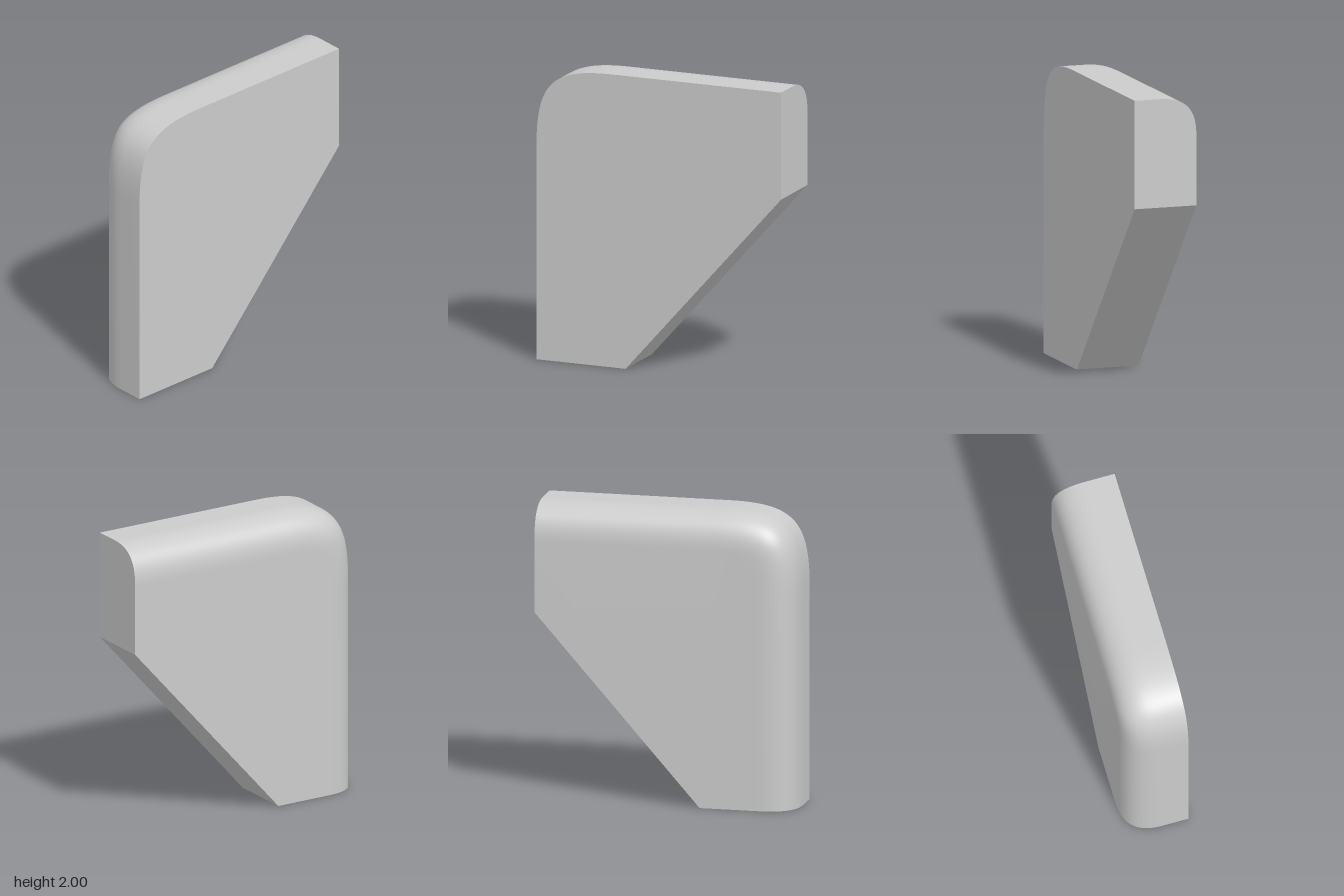
import * as THREE from 'three';
import { toCreasedNormals } from 'three/addons/utils/BufferGeometryUtils.js';

const W = 0.885, H = 2, D = 0.217;   // half width, height, half depth
const CORNER = 0.55, FILLET = 0.25;  // reach of the outline corner and of the back fillet

// Soft corner curve running from (0, size) to (size, 0), measured from the sharp corner.
function softCorner(size, pull, steps) {
  const v = (x, y) => new THREE.Vector2(x * size, y * size);
  return new THREE.CubicBezierCurve(v(0, 1), v(0, 1 - pull), v(1 - pull, 0), v(1, 0)).getPoints(steps);
}

// Rounded rim: up the left side, round the corner, along the top; each point with its inward normal.
function makeRim() {
  const pts = softCorner(CORNER, 0.8, 40).map(p => new THREE.Vector2(-W + p.x, H - p.y));
  const rim = pts.map((p, i) => {
    const t = pts[Math.min(i + 1, pts.length - 1)].clone().sub(pts[Math.max(i - 1, 0)]).normalize();
    if (i === 0) t.set(0, 1);
    if (i === pts.length - 1) t.set(1, 0);
    return { p, n: new THREE.Vector2(t.y, -t.x) };
  });
  return [
    { p: new THREE.Vector2(-W, 0), n: new THREE.Vector2(1, 0) },
    ...rim,
    { p: new THREE.Vector2(W, H), n: new THREE.Vector2(0, -1) },
  ];
}

function panelGeometry() {
  const rim = makeRim();
  // Closed outline with the rim moved inward; the slanted lower right edge stays put.
  const outline = inset => [
    ...rim.map(({ p, n }) => p.clone().addScaledVector(n, inset)),
    new THREE.Vector2(W, 1.27),
    new THREE.Vector2(-0.24, 0),
  ];
  // Layers from the flat front to the back, following the fillet.
  const layers = [{ inset: 0, z: D }];
  for (const f of softCorner(FILLET, 0.68, 20)) layers.push({ inset: f.x, z: -D + f.y });
  const loops = layers.map(l => outline(l.inset).map(p => new THREE.Vector3(p.x, p.y, l.z)));

  const pos = [];
  const tri = (...vs) => vs.forEach(v => pos.push(v.x, v.y, v.z));
  // Walls between neighbouring layers
  for (let j = 0; j + 1 < loops.length; j++) {
    const a = loops[j], b = loops[j + 1];
    for (let i = 0; i < a.length; i++) {
      const k = (i + 1) % a.length;
      tri(a[i], a[k], b[k]);
      tri(a[i], b[k], b[i]);
    }
  }
  // Flat front and back faces
  const cap = (loop, front) => {
    const ccw = loop.slice().reverse();
    const faces = THREE.ShapeUtils.triangulateShape(ccw.map(v => new THREE.Vector2(v.x, v.y)), []);
    for (const [a, b, c] of faces) front ? tri(ccw[a], ccw[b], ccw[c]) : tri(ccw[a], ccw[c], ccw[b]);
  };
  cap(loops[0], true);
  cap(loops[loops.length - 1], false);

  const geo = new THREE.BufferGeometry();
  geo.setAttribute('position', new THREE.Float32BufferAttribute(pos, 3));
  return toCreasedNormals(geo, 0.5);
}

export function createModel() {
  const group = new THREE.Group();
  group.name = 'roundedCornerPanel';
  const panel = new THREE.Mesh(panelGeometry(), new THREE.MeshStandardMaterial({ color: 0xcccccc }));
  panel.name = 'panel';
  group.add(panel);
  return group;
}
